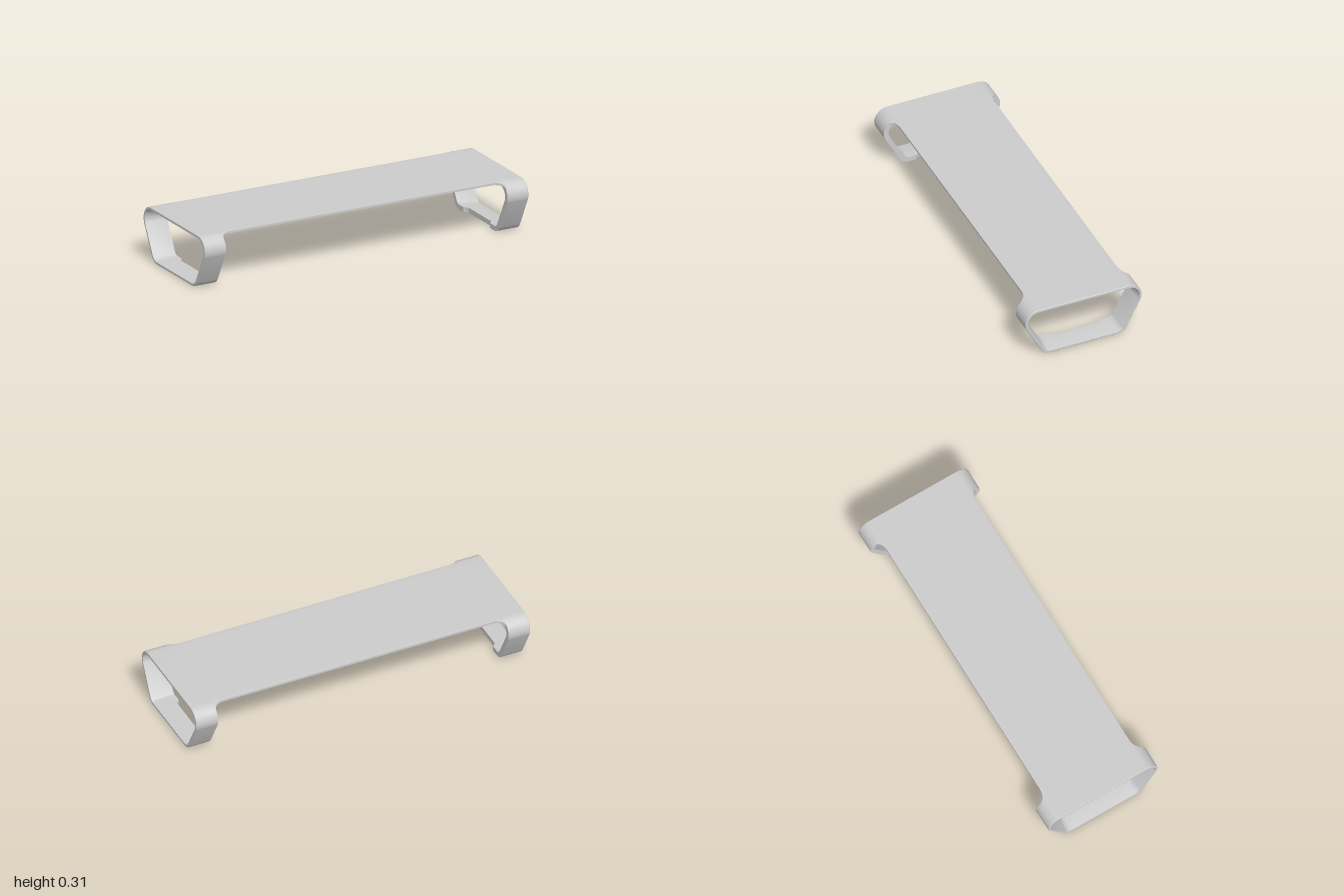
import * as THREE from 'three';
import { toCreasedNormals } from 'three/addons/utils/BufferGeometryUtils.js';

const material = new THREE.MeshStandardMaterial({ color: 0xcccccc });
const TOP = 0.307;
const UPPER = { z: 0.266, y: 0.228, r: 0.079 }; // upper corner arc
const LOWER = { z: 0.196, y: 0.063, r: 0.063 }; // lower corner arc
const NOTCH = [[0.15, 0.87], [0.147, 0.874], [0.134, 0.885], [0.125, 0.89]]; // [z, x]

// Skin over a grid of closed sections; closeRows joins the last row to the first.
function loft(rows, closeRows) {
  const n = rows[0].length, index = [];
  const count = closeRows ? rows.length : rows.length - 1;
  for (let i = 0; i < count; i++) {
    const k = (i + 1) % rows.length;
    for (let j = 0; j < n; j++) {
      const m = (j + 1) % n;
      const a = i * n + j, b = k * n + j, c = k * n + m, d = i * n + m;
      index.push(a, b, c, a, c, d);
    }
  }
  const geometry = new THREE.BufferGeometry();
  geometry.setAttribute('position', new THREE.Float32BufferAttribute(rows.flat(2), 3));
  geometry.setIndex(index);
  return toCreasedNormals(geometry, 0.5);
}

// Half outline of the foot loop, from top centre to bottom centre, with normals
function halfOutline() {
  const points = [];
  const flatZ = NOTCH.map((p) => p[0]).reverse();
  const arc = (c, from, to, steps) => {
    for (let i = 0; i <= steps; i++) {
      const a = from + ((to - from) * i) / steps;
      const nz = Math.cos(a), ny = Math.sin(a);
      points.push({ z: c.z + c.r * nz, y: c.y + c.r * ny, nz, ny });
    }
  };
  const slope = THREE.MathUtils.degToRad(-28.3);
  [0, ...flatZ].forEach((z) => points.push({ z, y: TOP, nz: 0, ny: 1 }));
  arc(UPPER, Math.PI / 2, slope, 16);
  arc(LOWER, slope, -Math.PI / 2, 10);
  [...flatZ.reverse(), 0].forEach((z) => points.push({ z, y: 0, nz: 0, ny: -1 }));
  return points;
}

// Inner edge of the foot, stepped outward to take the shelf tongue
function innerX(z) {
  const hit = NOTCH.find((p) => Math.abs(p[0] - Math.abs(z)) < 1e-6);
  return hit ? hit[1] : Math.abs(z) < 0.125 ? 0.89 : 0.87;
}

function footGeometry() {
  const half = halfOutline();
  const other = half.slice(1, -1).reverse().map((p) => ({ ...p, z: -p.z, nz: -p.nz }));
  const rows = [...half, ...other].map((p) => {
    const xi = innerX(p.z);
    // [x, depth below the outer skin]: the inside thins toward the open end
    const section = [[0.997, 0], [1, 0.003], [1, 0.014], [0.93, 0.028], [xi, 0.028], [xi, 0]];
    return section.map(([x, t]) => [x, p.y - t * p.ny, p.z - t * p.nz]);
  });
  return loft(rows, true);
}

function shelfGeometry() {
  // [x, half width]: straight body, flared shoulder, then narrow tongue
  const side = [[0, 0.28], [0.8, 0.28], [0.825, 0.282], [0.845, 0.289], [0.86, 0.3],
    [0.87, 0.315], ...NOTCH.map(([z, x]) => [x, z])];
  const stations = [...side.slice(1).reverse().map(([x, w]) => [-x, w]), ...side];
  const topY = (z) => {
    const over = Math.max(0, Math.abs(z) - UPPER.z);
    return TOP - UPPER.r + Math.sqrt(UPPER.r ** 2 - over ** 2);
  };
  const steps = 40;
  const section = ([x, w], thickness) => {
    const top = [], bottom = [];
    for (let i = 0; i <= steps; i++) {
      const z = w * (1 - (2 * i) / steps);
      top.push([x, topY(z), z]);
      bottom.unshift([x, topY(z) - thickness, z]);
    }
    return [...top, ...bottom];
  };
  const rows = stations.map((s) => section(s, 0.012));
  // zero-thickness sections close the two ends
  rows.unshift(section(stations[0], 0));
  rows.push(section(stations[stations.length - 1], 0));
  return loft(rows, false);
}

export function createModel() {
  const model = new THREE.Group();
  model.name = 'shelfStand';

  const shelf = new THREE.Mesh(shelfGeometry(), material);
  shelf.name = 'shelf';
  model.add(shelf);

  const foot = footGeometry();
  ['leftFoot', 'rightFoot'].forEach((name, i) => {
    const mesh = new THREE.Mesh(foot, material);
    mesh.name = name;
    mesh.rotation.y = i * Math.PI;
    model.add(mesh);
  });
  return model;
}
